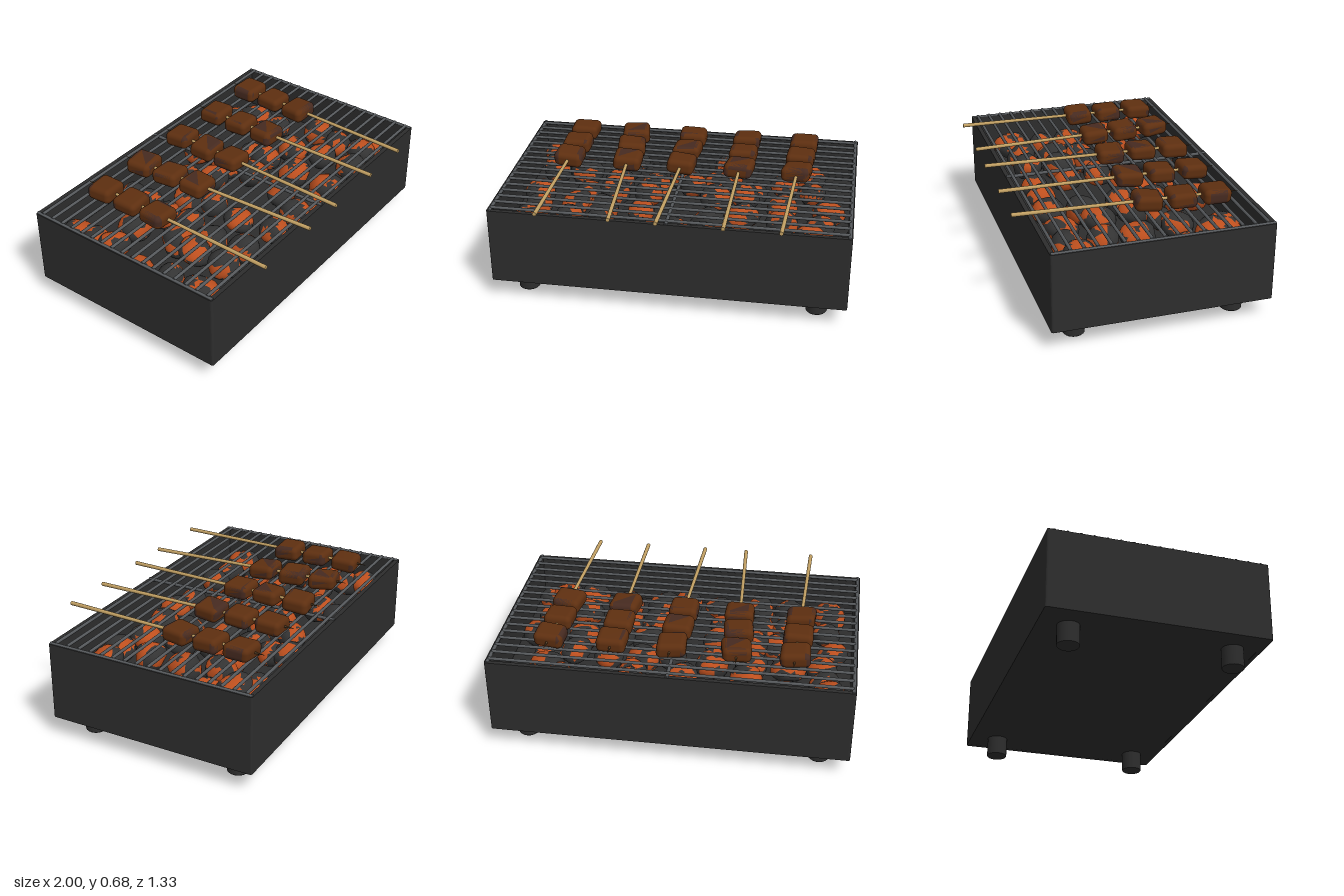
import * as THREE from 'three';
import { mergeVertices } from 'three/addons/utils/BufferGeometryUtils.js';
import { RoundedBoxGeometry } from 'three/addons/geometries/RoundedBoxGeometry.js';

const mat = (name, color, opts = {}) => new THREE.MeshStandardMaterial({ name, color, ...opts });

// Small seeded random generator
function seeded(seed) {
  let s = seed;
  return () => (s = (s * 16807) % 2147483647) / 2147483647;
}

// Smooth pseudo-noise in about -1..1
const noise = (x, y, z, f, p) =>
  (Math.sin(x * f + p + 1.7 * Math.sin(y * f + p * 2)) +
   Math.sin(y * f * 1.2 + p * 1.3 + 1.4 * Math.sin(z * f)) +
   Math.sin(z * f * 1.1 + p * 0.7 + 1.5 * Math.sin(x * f))) / 3;

// Bumps a closed surface, smooths it, and sorts faces into base and patch materials
function lumpy(source, amount, freq, phase, isPatch) {
  source.deleteAttribute('normal');
  source.deleteAttribute('uv');
  source.clearGroups();
  const geo = mergeVertices(source, 1e-4);
  const pos = geo.attributes.position;
  const v = new THREE.Vector3();
  for (let i = 0; i < pos.count; i++) {
    v.fromBufferAttribute(pos, i);
    v.multiplyScalar(1 + amount * noise(v.x, v.y, v.z, freq, phase));
    pos.setXYZ(i, v.x, v.y, v.z);
  }
  geo.computeVertexNormals();
  const base = [], patch = [];
  for (let i = 0; i < geo.index.count; i += 3) {
    const tri = [0, 1, 2].map(k => geo.index.getX(i + k));
    v.set(0, 0, 0);
    tri.forEach(k => v.add(new THREE.Vector3().fromBufferAttribute(pos, k)));
    v.divideScalar(3);
    (isPatch(v) ? patch : base).push(...tri);
  }
  geo.setIndex([...base, ...patch]);
  geo.addGroup(0, base.length, 0);
  geo.addGroup(base.length, patch.length, 1);
  return geo;
}

function roundedRect(path, w, d, r) {
  const x = w / 2, y = d / 2;
  path.moveTo(-x + r, -y);
  path.lineTo(x - r, -y).quadraticCurveTo(x, -y, x, -y + r);
  path.lineTo(x, y - r).quadraticCurveTo(x, y, x - r, y);
  path.lineTo(-x + r, y).quadraticCurveTo(-x, y, -x, y - r);
  path.lineTo(-x, -y + r).quadraticCurveTo(-x, -y, -x + r, -y);
  return path;
}

export function createModel() {
  const group = new THREE.Group();
  const body = mat('bodyBlack', 0x2d2d2d);
  const steel = mat('grateSteel', 0x55585b);
  const wood = mat('skewerWood', 0xc2a063);
  const tipWood = mat('scorchedWood', 0x5a4228);
  const meatBrown = mat('meatBrown', 0x5e2f10);
  const meatChar = mat('meatChar', 0x462a20);
  const coalGrey = mat('coalGrey', 0x333333);
  const ember = mat('emberOrange', 0xbd4f1e);

  const add = (name, geo, material, x, y, z, parent = group) => {
    const m = new THREE.Mesh(geo, material);
    m.name = name;
    m.position.set(x, y, z);
    parent.add(m);
    return m;
  };
  const UP = new THREE.Vector3(0, 1, 0);
  // Round rod between two points
  const rod = (name, a, b, ra, rb, material, parent) => {
    const dir = b.clone().sub(a);
    const c = a.clone().add(b).multiplyScalar(0.5);
    const m = add(name, new THREE.CylinderGeometry(rb, ra, dir.length(), 10), material, c.x, c.y, c.z, parent);
    m.quaternion.setFromUnitVectors(UP, dir.normalize());
    return m;
  };
  const P = (x, y, z) => new THREE.Vector3(x, y, z);

  // Fire box: walls, floor and feet
  const ZC = -0.055, W = 2, D = 1.22, T = 0.025;
  const ring = roundedRect(new THREE.Shape(), W, D, 0.012);
  ring.holes.push(roundedRect(new THREE.Path(), W - 2 * T, D - 2 * T, 0.005));
  const walls = new THREE.ExtrudeGeometry(ring, { depth: 0.445, bevelEnabled: false, curveSegments: 4 });
  walls.rotateX(-Math.PI / 2);
  add('walls', walls, body, 0, 0.117, ZC);
  add('floor', new THREE.BoxGeometry(W - 2 * T + 0.01, 0.2, D - 2 * T + 0.01), body, 0, 0.2175, ZC);
  for (const x of [-0.83, 0.83]) {
    for (const z of [-0.5, 0.395]) {
      const foot = new THREE.LatheGeometry(
        [[0, 0], [0.054, 0], [0.06, 0.006], [0.06, 0.006], [0.06, 0.122]].map(p => new THREE.Vector2(...p)), 24);
      add('foot', foot, body, x, 0, z);
    }
  }

  // Grate: cross bars, side rails and centre support
  const grate = new THREE.Group();
  grate.name = 'grate';
  group.add(grate);
  for (let i = 0; i < 17; i++) {
    const z = -0.625 + i * 0.0713;
    rod('grateBar', P(-0.985, 0.567, z), P(0.985, 0.567, z), 0.009, 0.009, steel, grate);
  }
  for (const x of [-0.985, 0, 0.985]) {
    rod('grateRail', P(x, 0.56, -0.66), P(x, 0.56, 0.55), 0.01, 0.01, steel, grate);
  }

  // Coals: rows of glowing lumps
  const rnd = seeded(4711);
  const coals = new THREE.Group();
  coals.name = 'coals';
  group.add(coals);
  const rows = [
    [-0.52, [-0.86, -0.36, 0.22, 0.64]],
    [-0.4, [-0.82, -0.4, -0.05, 0.25, 0.7]],
    [-0.25, [-0.83, -0.62, -0.43, -0.2, 0.02, 0.2, 0.4, 0.58, 0.76]],
    [-0.06, [-0.87, -0.56, -0.4, -0.19, 0.2, 0.38, 0.6, 0.85]],
    [0.14, [-0.82, -0.6, -0.43, -0.2, 0.17, 0.37, 0.6, 0.81]],
    [0.35, [-0.84, -0.58, -0.41, -0.18, 0.03, 0.17, 0.38, 0.62, 0.77, 0.92]],
  ];
  for (const [z, xs] of rows) {
    for (const x of xs) {
      const phase = rnd() * 20, r = 0.078 + rnd() * 0.022;
      const geo = lumpy(new THREE.IcosahedronGeometry(r, 3), 0.16, 26, phase,
        v => noise(v.x, v.y, v.z, 34, phase + 3) > 0.1);
      const coal = add('coal', geo, [coalGrey, ember],
        THREE.MathUtils.clamp(x + (rnd() - 0.5) * 0.03, -0.87, 0.87), 0.375 + rnd() * 0.05, z + (rnd() - 0.5) * 0.06, coals);
      coal.scale.y = 0.85;
      coal.rotation.y = rnd() * 6;
    }
  }

  // Skewers: [x at the handle, x at the tip], each with three chunks of meat
  const Y = 0.628, Z0 = 0.665, Z1 = -0.57;
  const skewers = [[-0.69, -0.662], [-0.29, -0.355], [-0.035, 0.01], [0.325, 0.335], [0.63, 0.685]];
  skewers.forEach(([xa, xb], s) => {
    const skewer = new THREE.Group();
    skewer.name = 'skewer';
    group.add(skewer);
    const at = z => P(xa + (xb - xa) * (Z0 - z) / (Z0 - Z1), Y, z);
    rod('skewerStick', at(Z0), at(-0.5), 0.0115, 0.008, wood, skewer);
    rod('skewerTip', at(-0.5), at(Z1), 0.008, 0.001, tipWood, skewer);
    const lean = Math.atan2(xa - xb, Z0 - Z1);
    [-0.065, -0.25, -0.44].forEach((z, k) => {
      const phase = rnd() * 20;
      const geo = lumpy(new RoundedBoxGeometry(0.162, 0.085, 0.154, 4, 0.03), 0.07, 22, phase,
        v => noise(v.x, v.y * 0.7, v.z, 38, phase + 5) > 0.42);
      const p = at(z);
      const chunk = add('meatChunk', geo, [meatBrown, meatChar], p.x, p.y, p.z, skewer);
      chunk.rotation.set((rnd() - 0.5) * 0.14, lean + (rnd() - 0.5) * 0.22, (rnd() - 0.5) * 0.12);
    });
  });
  return group;
}
